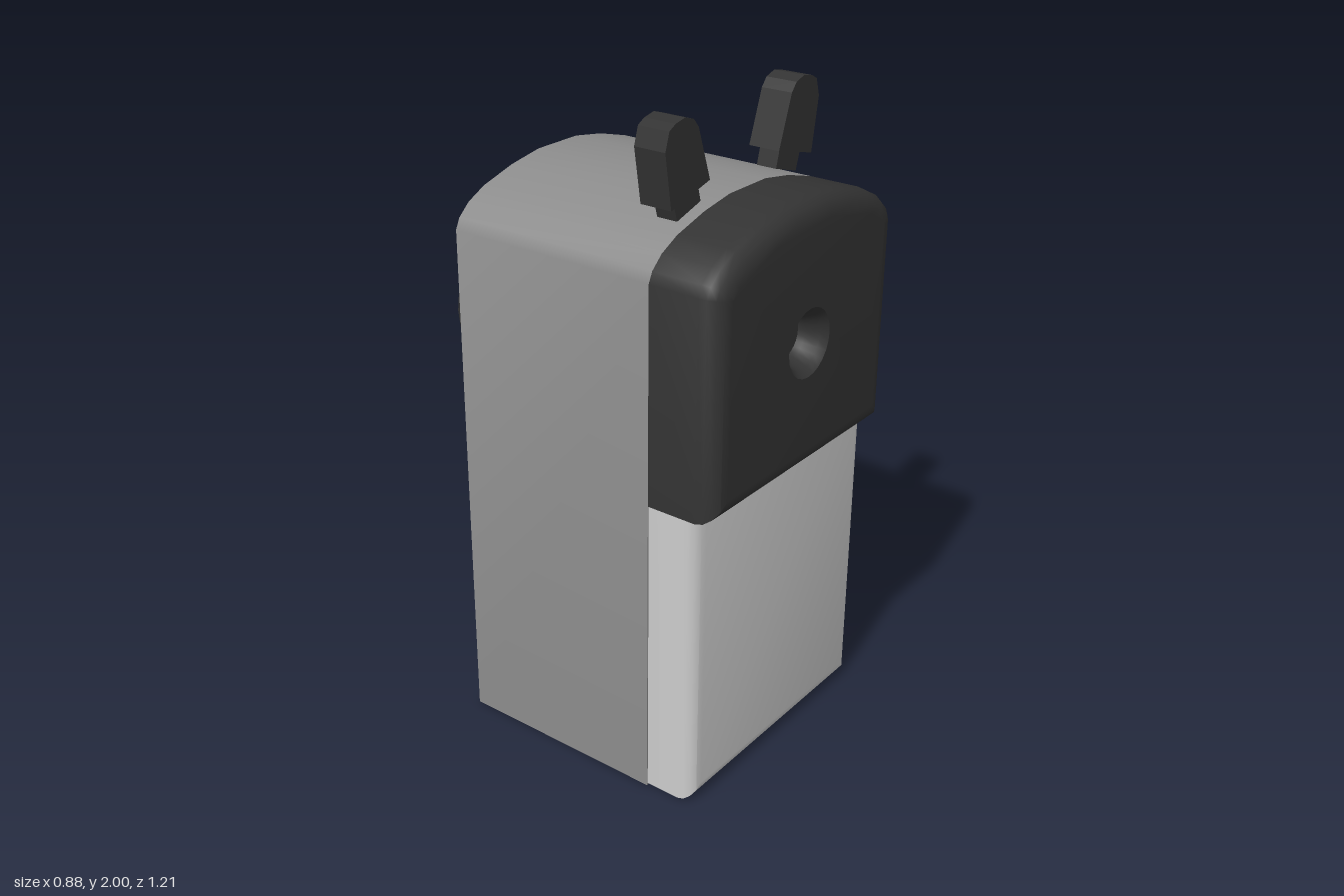
import * as THREE from 'three';
import { mergeGeometries, mergeVertices, toCreasedNormals } from 'three/addons/utils/BufferGeometryUtils.js';

const grey = new THREE.MeshStandardMaterial({ color: 0x8c8c8c });
const light = new THREE.MeshStandardMaterial({ color: 0xcccccc });
const dark = new THREE.MeshStandardMaterial({ color: 0x333333 });
const darkInside = new THREE.MeshStandardMaterial({ color: 0x333333, side: THREE.DoubleSide });

function add(parent, name, geometry, material, x = 0, y = 0, z = 0) {
  const mesh = new THREE.Mesh(geometry, material);
  mesh.name = name;
  mesh.position.set(x, y, z);
  parent.add(mesh);
  return mesh;
}

// Skin over a list of closed rings of Vector3
function loft(rings) {
  const n = rings[0].length, index = [];
  for (let i = 0; i < rings.length - 1; i++) {
    for (let j = 0; j < n; j++) {
      const a = i * n + j, b = i * n + (j + 1) % n;
      index.push(a, b, b + n, a, b + n, a + n);
    }
  }
  return new THREE.BufferGeometry().setFromPoints(rings.flat()).setIndex(index);
}

// Moves every side of a counter-clockwise outline inwards by d
function inset(points, d) {
  const n = points.length;
  return points.map((p, i) => {
    const e1 = p.clone().sub(points[(i + n - 1) % n]).normalize();
    const e2 = points[(i + 1) % n].clone().sub(p).normalize();
    const k = d / (1 + e1.dot(e2));
    return new THREE.Vector2(p.x - (e1.y + e2.y) * k, p.y + (e1.x + e2.x) * k);
  });
}

// Panel with walls from z0 and a rounded rim at its front, z1
function roundedPanel(outline, z0, z1, r, hole) {
  const ring = (d, z) => inset(outline, d).map(p => new THREE.Vector3(p.x, p.y, z));
  const rings = [ring(0, z0)];
  for (let i = 0; i <= 4; i++) {
    const a = i * Math.PI / 8;
    rings.push(ring(r * (1 - Math.cos(a)), z1 - r + r * Math.sin(a)));
  }
  const shape = new THREE.Shape(inset(outline, r));
  if (hole) shape.holes.push(hole);
  const front = new THREE.ShapeGeometry(shape, 12).translate(0, 0, z1);
  front.deleteAttribute('normal');
  front.deleteAttribute('uv');
  return toCreasedNormals(mergeVertices(mergeGeometries([loft(rings), front])), 0.6);
}

// Arched outline shared by the body and the front cover
function archOutline(bottom) {
  const side = [[0.44, 1.6], [0.425, 1.632], [0.385, 1.668], [0.32, 1.7], [0.2, 1.733], [0.085, 1.752]];
  const right = [[0.44, bottom], ...side];
  const left = right.map(([x, y]) => [-x, y]).reverse();
  return [...right, ...left].map(([x, y]) => new THREE.Vector2(x, y));
}

function prism(points, depth) {
  const shape = new THREE.Shape(points.map(p => new THREE.Vector2(...p)));
  return new THREE.ExtrudeGeometry(shape, { depth, bevelEnabled: false });
}

export function createModel() {
  const model = new THREE.Group();
  model.name = 'pencilSharpener';

  // Main housing
  const body = new THREE.ExtrudeGeometry(new THREE.Shape(archOutline(0)), { depth: 0.68, bevelEnabled: false });
  add(model, 'body', toCreasedNormals(body, 0.6), grey, 0, 0, -0.295);

  // Front cover with the tapered pencil hole
  const holeY = 1.345;
  const hole = new THREE.Path().absarc(0, holeY, 0.103, 0, Math.PI * 2, true);
  add(model, 'frontCover', roundedPanel(archOutline(0.95), 0.385, 0.605, 0.063, hole), dark);
  // Underside of the cover
  add(model, 'coverUnderside', new THREE.BoxGeometry(0.86, 0.01, 0.15), dark, 0, 0.957, 0.46);
  const funnel = [[0, -0.08], [0.065, -0.08], [0.068, -0.06], [0.085, -0.02], [0.103, 0]];
  const cup = new THREE.LatheGeometry(funnel.map(p => new THREE.Vector2(...p)), 24);
  add(model, 'pencilHole', toCreasedNormals(cup, 0.7), darkInside, 0, holeY, 0.605).rotation.x = Math.PI / 2;

  // Shavings drawer, running up behind the cover
  const drawer = [[-0.436, 0.006], [0.436, 0.006], [0.436, 1.05], [-0.436, 1.05]];
  add(model, 'drawer', roundedPanel(drawer.map(p => new THREE.Vector2(...p)), 0.385, 0.545, 0.05), light);

  // Two tilted clamp levers on top
  for (const s of [-1, 1]) {
    const lever = new THREE.Group();
    lever.name = s > 0 ? 'leftLever' : 'rightLever';
    const place = pts => (s > 0 ? pts : pts.map(([x, y]) => [-x, y]).reverse());
    const head = [[0.164, 1.808], [0.333, 1.765], [0.36, 1.926], [0.344, 1.978], [0.318, 1.992],
      [0.278, 2], [0.24, 1.988], [0.218, 1.962]];
    const stem = [[0.18, 1.75], [0.283, 1.72], [0.305, 1.79], [0.198, 1.815]];
    add(lever, 'leverHead', prism(place(head), 0.1), dark, 0, 0, 0.275);
    add(lever, 'leverStem', prism(place(stem), 0.065), dark, 0, 0, 0.292);
    model.add(lever);
  }

  // Crank: flange, drum, bent arm and knob at the back
  const crank = new THREE.Group();
  crank.name = 'crank';
  const round = (name, r, sides, x, y, zBack, zFront) => {
    const g = new THREE.CylinderGeometry(r, r, zFront - zBack, sides).rotateX(Math.PI / 2);
    add(crank, name, toCreasedNormals(g, 0.6), dark, x, y, (zBack + zFront) / 2);
  };
  round('flange', 0.295, 20, 0, 1.232, -0.371, -0.29);
  round('drum', 0.224, 24, 0, 1.232, -0.518, -0.37);
  round('knob', 0.059, 8, 0.017, 0.288, -0.605, -0.485);
  // Arm stations: x, y, z, half width, half thickness
  const stations = [[0, 1.06, -0.452, 0.048, 0.029], [-0.045, 0.59, -0.477, 0.033, 0.022], [0.017, 0.29, -0.5, 0.024, 0.012]];
  const corners = [[1, -1], [1, 1], [-1, 1], [-1, -1]];
  const arm = loft(stations.map(([x, y, z, w, t]) =>
    corners.map(([u, v]) => new THREE.Vector3(x + u * w, y, z + v * t))));
  add(crank, 'crankArm', toCreasedNormals(arm, 0.3), dark);
  model.add(crank);

  return model;
}
